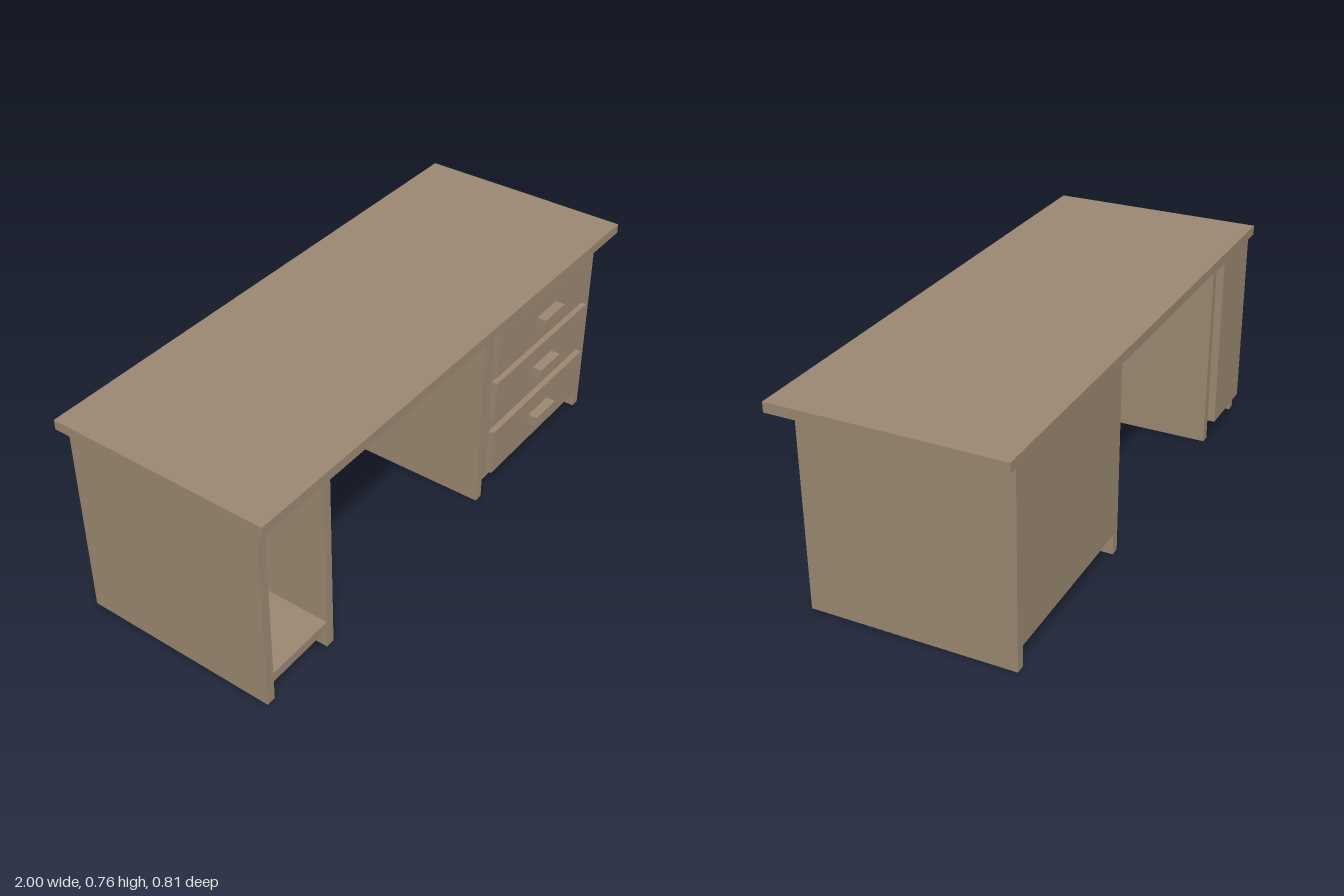
import * as THREE from 'three';

const FRONT = 0.348, BACK = -0.375; // depth range of both cabinets
const UNDERSIDE = 0.725, FLOOR = 0.075, BOARD = 0.033;

export function createModel() {
  const desk = new THREE.Group();
  desk.name = 'desk';
  const wood = new THREE.MeshStandardMaterial({ color: 0x9b8872 });

  const add = (name, geometry) => {
    const mesh = new THREE.Mesh(geometry, wood);
    mesh.name = name;
    desk.add(mesh);
  };

  // Box given by its extents along each axis
  const box = (name, [x0, x1], [y0, y1], [z0, z1]) => {
    const g = new THREE.BoxGeometry(x1 - x0, y1 - y0, z1 - z0);
    g.translate((x0 + x1) / 2, (y0 + y1) / 2, (z0 + z1) / 2);
    add(name, g);
  };

  // Front outline pushed through the cabinet depth
  const carcass = (name, points) => {
    const shape = new THREE.Shape(points.map(([x, y]) => new THREE.Vector2(x, y)));
    const g = new THREE.ExtrudeGeometry(shape, { depth: FRONT - BACK, bevelEnabled: false });
    g.translate(0, 0, BACK);
    add(name, g);
  };

  box('desktop', [-1, 1], [UNDERSIDE, 0.76], [-0.405, 0.388]);

  // Drawer pedestal: closed body standing on two side runners
  const p0 = 0.183, p1 = 0.91;
  carcass('drawerPedestal', [
    [p0, 0], [p0 + BOARD, 0], [p0 + BOARD, FLOOR], [p1 - BOARD, FLOOR],
    [p1 - BOARD, 0], [p1, 0], [p1, UNDERSIDE], [p0, UNDERSIDE],
  ]);

  // Drawers with block handles
  [[0.10, 0.28], [0.33, 0.49], [0.52, 0.70]].forEach(([y0, y1], i) => {
    const mid = [0.19, 0.40, 0.61][i];
    box(`drawerFront${i + 1}`, [0.24, 0.85], [y0, y1], [FRONT, 0.37]);
    box(`drawerHandle${i + 1}`, [0.482, 0.61], [mid - 0.02, mid + 0.02], [0.37, 0.405]);
  });

  // Open cabinet: two side boards joined by a raised floor
  const c0 = -0.977, c1 = -0.65;
  const shelf = FLOOR + 0.035;
  carcass('openCabinet', [
    [c0, 0], [c0 + BOARD, 0], [c0 + BOARD, FLOOR], [c1 - BOARD, FLOOR],
    [c1 - BOARD, 0], [c1, 0], [c1, UNDERSIDE], [c1 - BOARD, UNDERSIDE],
    [c1 - BOARD, shelf], [c0 + BOARD, shelf], [c0 + BOARD, UNDERSIDE], [c0, UNDERSIDE],
  ]);

  // Back board set behind the open cabinet
  box('cabinetBack', [c0 + BOARD, c1 - BOARD], [FLOOR, UNDERSIDE], [-0.403, BACK]);

  return desk;
}
